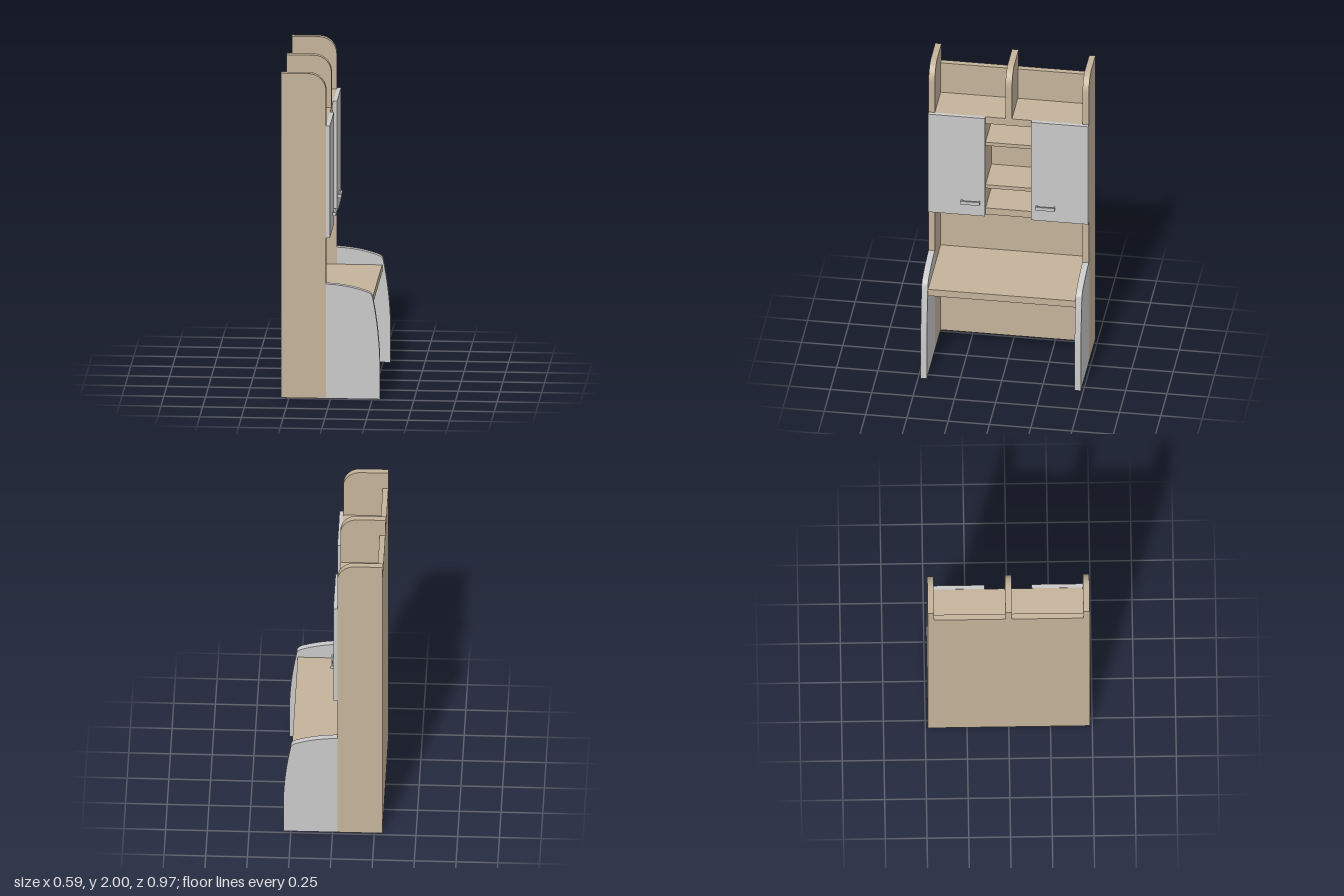
import * as THREE from 'three';
import { toCreasedNormals } from 'three/addons/utils/BufferGeometryUtils.js';

export function createModel() {
  const wood = new THREE.MeshStandardMaterial({ color: 0xc4b39a });
  wood.name = 'beige wood';
  const grey = new THREE.MeshStandardMaterial({ color: 0xc9c9c9 });
  grey.name = 'light grey';

  const model = new THREE.Group();
  model.name = 'deskWithHutch';

  const BACK = -0.298, FRONT = -0.028, HALF = 0.485, T = 0.038;
  const INNER = HALF - T;

  // Box given by its extents on each axis
  function box(name, mat, x0, x1, y0, y1, z0, z1, parent = model) {
    const mesh = new THREE.Mesh(new THREE.BoxGeometry(x1 - x0, y1 - y0, z1 - z0), mat);
    mesh.position.set((x0 + x1) / 2, (y0 + y1) / 2, (z0 + z1) / 2);
    mesh.name = name;
    parent.add(mesh);
  }

  // Upright board cut from an x-y outline
  function board(name, mat, shape, z0, thickness) {
    const geo = new THREE.ExtrudeGeometry(shape, { depth: thickness, bevelEnabled: false, curveSegments: 12 });
    const mesh = new THREE.Mesh(toCreasedNormals(geo, 0.5), mat);
    mesh.position.z = z0;
    mesh.name = name;
    model.add(mesh);
  }

  // Outline with a rounded upper front corner
  function roundedUpright(bottom) {
    const r = 0.105;
    const s = new THREE.Shape();
    s.moveTo(BACK, bottom);
    s.lineTo(FRONT, bottom);
    s.lineTo(FRONT, 2 - r);
    s.absarc(FRONT - r, 2 - r, r, 0, Math.PI / 2, false);
    s.lineTo(BACK, 2);
    s.closePath();
    return s;
  }

  // Curved outline of the grey desk end
  const deskEnd = new THREE.Shape();
  deskEnd.moveTo(FRONT, 0);
  deskEnd.lineTo(0.295, 0);
  deskEnd.lineTo(0.295, 0.24);
  deskEnd.quadraticCurveTo(0.289, 0.44, 0.251, 0.63);
  deskEnd.quadraticCurveTo(0.246, 0.65, 0.22, 0.66);
  deskEnd.quadraticCurveTo(0.11, 0.7, FRONT, 0.705);
  deskEnd.closePath();

  // Back panel, uprights and desk ends
  box('backPanel', wood, BACK, -0.264, 0, 1.885, -INNER, INNER);
  for (const z0 of [INNER, -HALF]) {
    board('sidePanel', wood, roundedUpright(0), z0, T);
    board('deskEnd', grey, deskEnd, z0, T);
  }
  board('topDivider', wood, roundedUpright(1.675), -0.02, 0.04);

  // Desk top and cabinet boards
  box('deskTop', wood, -0.264, 0.245, 0.555, 0.6, -INNER, INNER);
  box('cabinetFloor', wood, -0.264, FRONT, 0.99, 1.035, -INNER, INNER);
  box('cabinetTop', wood, -0.264, FRONT, 1.63, 1.678, -INNER, INNER);
  for (const y of [1.175, 1.475]) {
    box('middleShelf', wood, -0.264, FRONT, y, y + 0.024, -0.14, 0.14);
  }

  // Cabinet walls, doors and handles, mirrored across z
  for (const s of [1, -1]) {
    const span = (a, b) => (s > 0 ? [a, b] : [-b, -a]);
    box('cabinetWall', wood, -0.264, FRONT, 1.035, 1.63, ...span(0.14, 0.17));
    box('door', grey, FRONT, -0.004, 0.99, 1.68, ...span(0.14, HALF));

    const handle = new THREE.Group();
    handle.name = 'doorHandle';
    box('handleBar', grey, 0.009, 0.019, 1.075, 1.097, ...span(0.17, 0.284), handle);
    box('handlePost', grey, -0.004, 0.009, 1.075, 1.097, ...span(0.17, 0.177), handle);
    box('handlePost', grey, -0.004, 0.009, 1.075, 1.097, ...span(0.277, 0.284), handle);
    model.add(handle);
  }

  return model;
}
